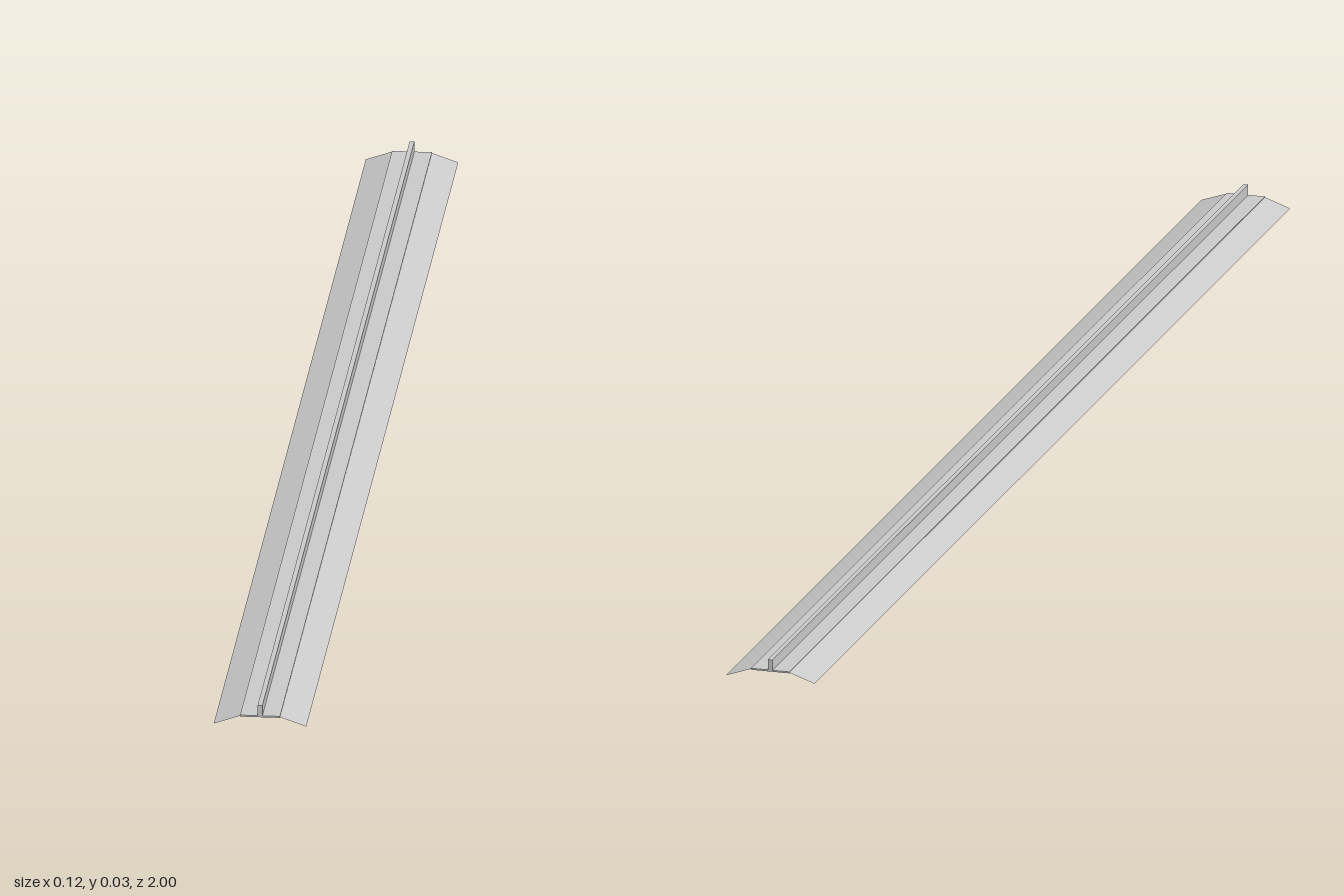
import * as THREE from 'three';

const LENGTH = 2;
const material = new THREE.MeshStandardMaterial({ color: 0xcccccc, flatShading: true, side: THREE.DoubleSide });

// Box running the full length, from y0 to y1
function bar(name, width, y0, y1) {
  const mesh = new THREE.Mesh(new THREE.BoxGeometry(width, y1 - y0, LENGTH), material);
  mesh.name = name;
  mesh.position.y = (y0 + y1) / 2;
  return mesh;
}

// Thin sheet sloping from the plate edge down to the floor
function wing(name, side) {
  const inner = [0.025, 0.0115], outer = [0.058, 0];
  const geometry = new THREE.PlaneGeometry(1, LENGTH).rotateX(-Math.PI / 2);
  const p = geometry.attributes.position;
  for (let i = 0; i < p.count; i++) {
    const t = p.getX(i) + 0.5;
    const u = side > 0 ? t : 1 - t;
    p.setX(i, side * THREE.MathUtils.lerp(inner[0], outer[0], u));
    p.setY(i, THREE.MathUtils.lerp(inner[1], outer[1], u));
  }
  geometry.computeVertexNormals();
  const mesh = new THREE.Mesh(geometry, material);
  mesh.name = name;
  return mesh;
}

export function createModel() {
  const model = new THREE.Group();
  model.name = 'longProfile';
  model.add(
    bar('centrePlate', 0.05, 0.0105, 0.0125),
    bar('centreRib', 0.006, 0.0125, 0.026),
    wing('leftWing', 1),
    wing('rightWing', -1)
  );
  return model;
}
